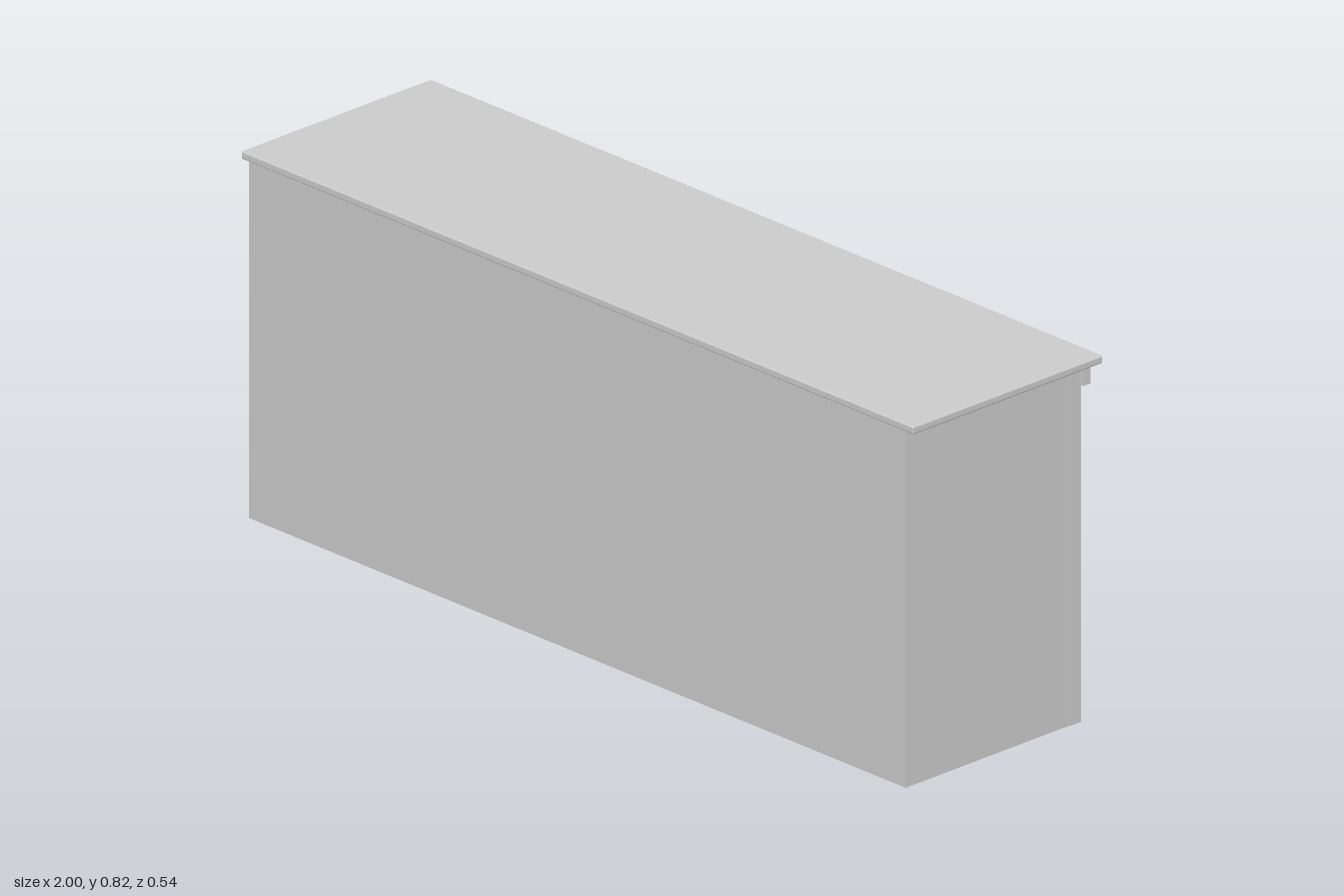
import * as THREE from 'three';
import { RoundedBoxGeometry } from 'three/addons/geometries/RoundedBoxGeometry.js';

const grey = new THREE.MeshStandardMaterial({ color: 0xcccccc });
const cloth = new THREE.MeshStandardMaterial({ color: 0xcccccc, side: THREE.DoubleSide });

// Box given by its lower and upper limits on each axis
function box(parent, name, x0, x1, y0, y1, z0, z1) {
  const mesh = new THREE.Mesh(new THREE.BoxGeometry(x1 - x0, y1 - y0, z1 - z0), grey);
  mesh.position.set((x0 + x1) / 2, (y0 + y1) / 2, (z0 + z1) / 2);
  mesh.name = name;
  parent.add(mesh);
  return mesh;
}

// One hanging strip of cloth with soft folds and an uneven hem
function curtainStrip(width, top, bottom, phase) {
  const geo = new THREE.PlaneGeometry(width, 1, 32, 12);
  const p = geo.attributes.position;
  for (let i = 0; i < p.count; i++) {
    const x = p.getX(i);
    const drop = 0.5 - p.getY(i);
    const fold = Math.sin(x * 62 + phase) + 0.4 * Math.sin(x * 115 + phase * 2);
    const hem = bottom + 0.005 * Math.sin(x * 62 + phase + 1);
    p.setXYZ(i, x + 0.002 * drop * Math.sin(phase * 3 + drop * 9),
      THREE.MathUtils.lerp(top, hem, drop), 0.006 * (0.3 + 0.7 * drop) * fold);
  }
  geo.computeVertexNormals();
  const mesh = new THREE.Mesh(geo, cloth);
  mesh.name = 'curtainStrip';
  return mesh;
}

// Low bench fixed to the wall at x, reaching towards +x
function bench(x) {
  const g = new THREE.Group();
  g.name = 'bench';
  box(g, 'benchSeat', x, x + 0.14, 0.127, 0.139, -0.08, 0.19);
  for (const z of [-0.04, 0.175]) box(g, 'benchLeg', x, x + 0.1, 0.005, 0.127, z - 0.005, z + 0.005);
  return g;
}

// Fittings of the open side between two posts
function bay(x0, x1, index) {
  const g = new THREE.Group();
  g.name = 'bay';
  box(g, 'header', x0, x1, 0.735, 0.8, -0.222, -0.203);
  box(g, 'transomRail', x0, x1, 0.718, 0.735, -0.226, -0.203);
  box(g, 'transomRail', x0, x1, 0.648, 0.668, -0.226, -0.203);
  box(g, 'sill', x0, x1, 0, 0.015, -0.226, -0.203);

  // Lattice bars
  for (let i = 1; i < 5; i++) {
    const x = THREE.MathUtils.lerp(x0, x1, i / 5);
    box(g, 'latticeBar', x - 0.004, x + 0.004, 0.668, 0.718, -0.22, -0.208);
  }

  // Three curtain strips
  const w = (x1 - x0) / 3;
  for (let i = 0; i < 3; i++) {
    const strip = curtainStrip(w - 0.006, 0.66, 0.25, index * 1.7 + i * 2.3);
    strip.position.set(x0 + w * (i + 0.5), 0, -0.193);
    g.add(strip);
  }
  return g;
}

export function createModel() {
  const model = new THREE.Group();
  model.name = 'curtainedStall';

  // Roof slab and the beam under its edge
  const roof = new THREE.Mesh(new RoundedBoxGeometry(2, 0.018, 0.542, 2, 0.004), grey);
  roof.position.set(0, 0.808, 0);
  roof.name = 'roof';
  model.add(roof);
  box(model, 'eaveBeam', -0.988, 0.988, 0.757, 0.8, -0.247, -0.226);

  // Closed front wall
  box(model, 'frontWall', -0.977, 0.977, 0, 0.8, 0.262, 0.27);

  // Side walls, partitions and posts
  const posts = [-0.963, -0.321, 0.321, 0.963];
  posts.forEach((x, i) => {
    const outer = i === 0 || i === 3;
    const wallX = outer ? Math.sign(x) * 0.971 : x;
    box(model, outer ? 'sideWall' : 'partition', wallX - 0.005, wallX + 0.005, 0, 0.8, -0.201, 0.262);
    box(model, 'post', x - 0.015, x + 0.015, 0, 0.8, -0.229, -0.201);
  });

  // Three bays, each with a bench
  for (let i = 0; i < 3; i++) {
    model.add(bay(posts[i] + 0.015, posts[i + 1] - 0.015, i));
    model.add(bench(i === 0 ? -0.966 : posts[i] + 0.005));
  }
  return model;
}
